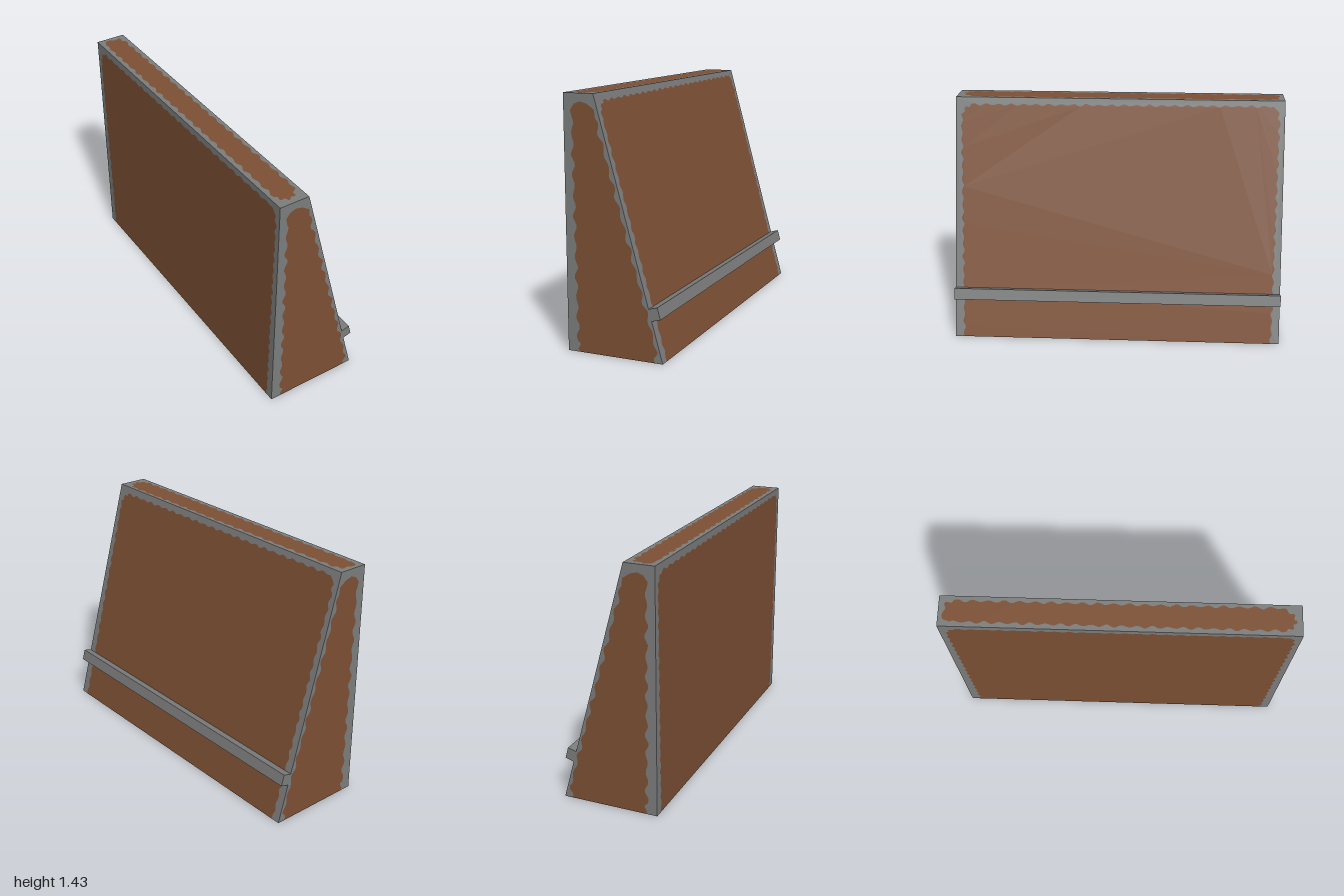
import * as THREE from 'three';

const H = 1.43, BACK = -0.29, FOOT = 0.285, TOP = -0.11, HALF = 1;
const SLOPE = Math.hypot(FOOT - TOP, H);
const LEAN = Math.atan2(FOOT - TOP, H);

// Subdivide a polyline and ripple it sideways, keeping its corner points fixed
function ripple(points, amp, period) {
  const out = [];
  for (let i = 0; i < points.length - 1; i++) {
    const [ax, ay] = points[i], [bx, by] = points[i + 1];
    const len = Math.hypot(bx - ax, by - ay);
    const waves = Math.round(len / period);
    const steps = Math.max(1, waves * 6);
    for (let s = 0; s < steps; s++) {
      const t = s / steps;
      const d = waves ? amp * Math.sin(t * waves * Math.PI * 2) * (0.75 + 0.25 * Math.sin(t * waves * 2.3)) : 0;
      out.push([ax + (bx - ax) * t - ((by - ay) / len) * d, ay + (by - ay) * t + ((bx - ax) / len) * d]);
    }
  }
  out.push(points[points.length - 1]);
  return out;
}

const toVectors = (pts) => pts.map(([x, y]) => new THREE.Vector2(x, y));

export function createModel() {
  const model = new THREE.Group();
  const grey = new THREE.MeshStandardMaterial({ color: 0x7b7c7c, side: THREE.DoubleSide });
  grey.name = 'grey border';
  const brown = new THREE.MeshStandardMaterial({ color: 0x7c4f33, side: THREE.DoubleSide });
  brown.name = 'rust brown';

  // A thin wall: rippled brown field and the grey border that surrounds it.
  // An open field runs down to the wall's bottom edge, a closed one is ringed.
  function wall(name, outer, field, closed) {
    const group = new THREE.Group();
    group.name = name;
    let border;
    if (closed) {
      border = new THREE.Shape(toVectors(outer));
      border.holes.push(new THREE.Path(toVectors(field)));
    } else {
      border = new THREE.Shape(toVectors([...outer, ...field.slice().reverse()]));
    }
    const edge = new THREE.Mesh(new THREE.ShapeGeometry(border), grey);
    edge.name = name + 'Border';
    const fill = new THREE.Mesh(new THREE.ShapeGeometry(new THREE.Shape(toVectors(field))), brown);
    fill.name = name + 'Field';
    group.add(edge, fill);
    model.add(group);
    return group;
  }

  // Tapered end walls, mirrored front to back
  const endOuter = [[BACK, 0], [BACK, H], [TOP, H], [FOOT, 0]];
  const endField = ripple([
    [-0.215, 0], [-0.228, 0.06], [-0.24, 1.3], [-0.25, 1.34], [-0.225, 1.373], [-0.19, 1.386],
    [-0.15, 1.375], [-0.105, 1.345], [-0.1, 1.3], [0.245, 0.08], [0.243, 0],
  ], 0.012, 0.113);
  for (const side of [1, -1]) {
    const flip = ([x, y]) => [x * side, y];
    const end = wall(side > 0 ? 'frontEnd' : 'backEnd', endOuter.map(flip), endField.map(flip), false);
    end.position.z = HALF * side;
    end.rotation.y = side > 0 ? 0 : Math.PI;
  }

  // Long walls: upright on one side, leaning on the other
  function longWall(name, height) {
    const outer = [[-HALF, 0], [-HALF, height], [HALF, height], [HALF, 0]];
    const field = ripple([
      [-0.945, 0], [-0.965, height - 0.12], [-0.95, height - 0.075], [-0.91, height - 0.045],
      [0.93, height - 0.035], [0.955, height - 0.06], [0.968, height - 0.12], [0.95, 0],
    ], 0.008, 0.078);
    return wall(name, outer, field, false);
  }
  const upright = longWall('uprightWall', H);
  upright.position.x = BACK;
  upright.rotation.y = -Math.PI / 2;

  const leaning = new THREE.Group();
  leaning.name = 'leaningSide';
  leaning.position.x = FOOT;
  leaning.rotation.z = LEAN;
  const slope = longWall('slopedWall', SLOPE);
  slope.rotation.y = Math.PI / 2;
  leaning.add(slope);

  // Ledge running along the sloped wall
  const ledge = new THREE.Mesh(new THREE.BoxGeometry(0.053, 0.068, HALF * 2), grey);
  ledge.name = 'ledge';
  ledge.position.set(0.0265, 0.274, 0);
  leaning.add(ledge);
  model.add(leaning);

  // Narrow top cap
  const capField = ripple([
    [-0.262, -0.91], [-0.262, 0.93], [-0.25, 0.97], [-0.16, 0.97], [-0.138, 0.92],
    [-0.13, -0.89], [-0.16, -0.945], [-0.2, -0.965], [-0.24, -0.95], [-0.262, -0.91],
  ], 0.009, 0.085).slice(0, -1);
  const cap = wall('topCap', [[BACK, -HALF], [BACK, HALF], [TOP, HALF], [TOP, -HALF]], capField, true);
  cap.position.y = H;
  cap.rotation.x = -Math.PI / 2;

  return model;
}
